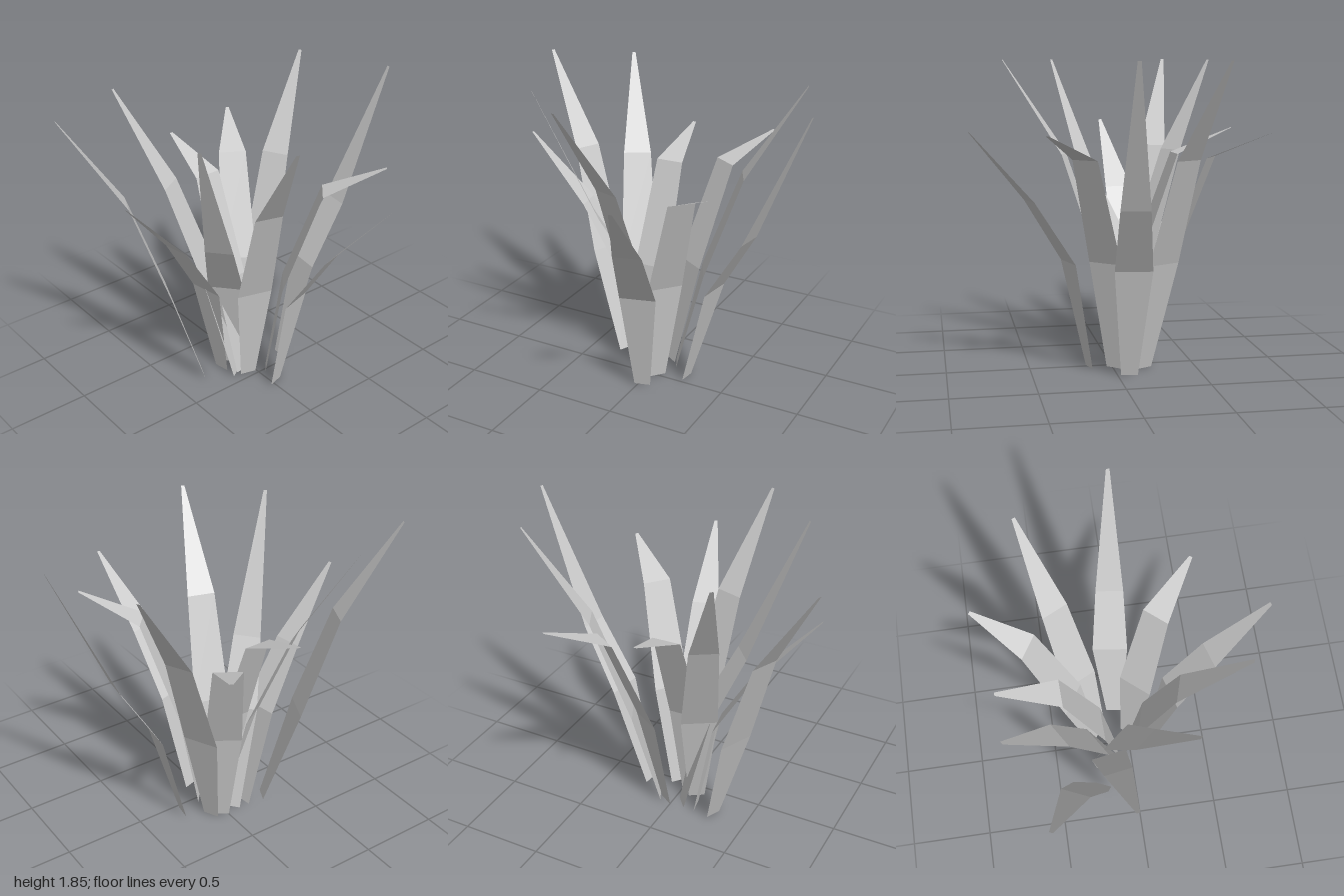
import * as THREE from 'three';

// Half widths of a blade at its base, lower bend, upper bend and tip
const HALF_WIDTHS = [0.05, 0.11, 0.085, 0.01];
const LOWER_BEND = 0.66;

// Each blade: upper bend height, tip height, then [x, z] of base, lower bend, upper bend, tip
const BLADES = [
  [1.29, 1.85, [-0.285, -0.21], [-0.465, -0.30], [-0.66, -0.39], [-0.99, -0.53]],
  [1.04, 1.45, [-0.155, -0.19], [-0.28, -0.165], [-0.505, -0.135], [-0.86, -0.075]],
  [1.04, 1.85, [-0.06, -0.20], [-0.175, -0.105], [-0.335, 0.05], [-0.62, 0.28]],
  [1.29, 1.85, [-0.055, -0.04], [-0.08, 0.06], [-0.142, 0.265], [-0.25, 0.62]],
  [1.04, 1.45, [0.025, 0.14], [0.065, 0.27], [0.13, 0.505], [0.23, 0.85]],
  [1.29, 1.45, [0.06, -0.005], [0.14, 0.06], [0.315, 0.205], [0.59, 0.45]],
  [1.04, 1.85, [0.23, -0.07], [0.41, -0.06], [0.635, -0.025], [0.99, 0.03]],
  [1.29, 1.85, [0.095, -0.19], [0.23, -0.275], [0.435, -0.37], [0.76, -0.52]],
  [1.29, 1.44, [0.04, -0.22], [0.11, -0.335], [0.235, -0.55], [0.43, -0.85]],
  [1.29, 1.44, [-0.06, -0.085], [-0.08, -0.175], [-0.073, -0.40], [-0.08, -0.76]],
  [1.29, 1.85, [-0.11, -0.09], [-0.19, -0.22], [-0.32, -0.435], [-0.50, -0.72]],
];

// Flat folded strip whose cross edges lie square to the direction it leans
function bladeGeometry([bendHeight, tipHeight, ...centres]) {
  const heights = [0, LOWER_BEND, bendHeight, tipHeight];
  const [base, tip] = [centres[0], centres[3]];
  const lean = new THREE.Vector2(tip[0] - base[0], tip[1] - base[1]).normalize();
  const rows = centres.map(([x, z], i) => [-1, 1].map((side) => {
    const w = side * HALF_WIDTHS[i];
    return [x - lean.y * w, heights[i], z + lean.x * w];
  }));
  const positions = [];
  for (let i = 0; i < 3; i++) {
    const [a, b] = rows[i];
    const [d, c] = rows[i + 1];
    // upper side of the blade faces the middle of the plant
    positions.push(...a, ...b, ...c, ...a, ...c, ...d);
  }
  const geometry = new THREE.BufferGeometry();
  geometry.setAttribute('position', new THREE.Float32BufferAttribute(positions, 3));
  geometry.computeVertexNormals();
  return geometry;
}

export function createModel() {
  const plant = new THREE.Group();
  plant.name = 'grassTuft';
  const material = new THREE.MeshStandardMaterial({
    color: 0xcccccc, flatShading: true, side: THREE.DoubleSide,
  });
  BLADES.forEach((blade, i) => {
    const mesh = new THREE.Mesh(bladeGeometry(blade), material);
    mesh.name = `blade${i + 1}`;
    plant.add(mesh);
  });
  return plant;
}
